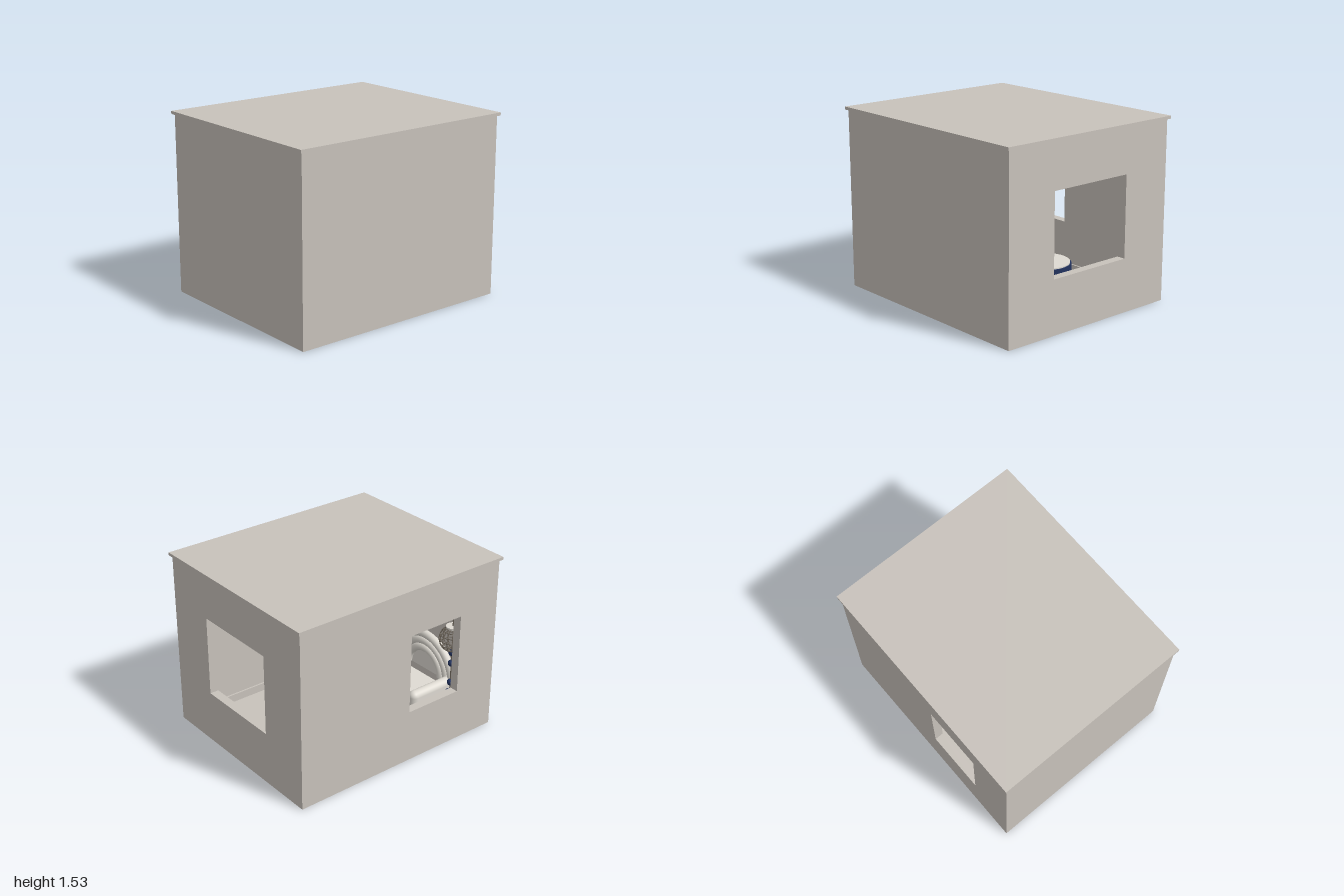
import * as THREE from 'three';
import { RoundedBoxGeometry } from 'three/addons/geometries/RoundedBoxGeometry.js';

const material = (name, color) => {
  const m = new THREE.MeshStandardMaterial({ color });
  m.name = name;
  return m;
};

export function createModel() {
  const plaster = material('warm plaster', 0xc8c2bb);
  const cream = material('cream upholstery', 0xdedad2);
  const navy = material('navy', 0x22335f);
  const bronze = material('bronze wire', 0x6f675c);

  const room = new THREE.Group();
  room.name = 'room';
  const add = (name, geometry, mat, x = 0, y = 0, z = 0, parent = room) => {
    const mesh = new THREE.Mesh(geometry, mat);
    mesh.name = name;
    mesh.position.set(x, y, z);
    parent.add(mesh);
    return mesh;
  };

  const W = 0.83, D = 0.98, H = 1.505, T = 0.075;
  const sill = 0.45, head = 1.13;

  // Wall panel in its own plane, with an optional window from a to b
  const wallPanel = (half, a, b) => {
    const shape = new THREE.Shape();
    shape.moveTo(-half, 0).lineTo(half, 0).lineTo(half, H).lineTo(-half, H).closePath();
    if (a !== undefined) {
      const hole = new THREE.Path();
      hole.moveTo(a, sill).lineTo(a, head).lineTo(b, head).lineTo(b, sill).closePath();
      shape.holes.push(hole);
    }
    return new THREE.ExtrudeGeometry(shape, { depth: T, bevelEnabled: false });
  };

  // Shell: front and back walls, side walls between them, roof and floor
  add('frontWall', wallPanel(W), plaster, 0, 0, D - T);
  add('backWall', wallPanel(W, -0.38, 0.38), plaster, 0, 0, -D);
  const inner = D - T;
  add('windowSideWall', wallPanel(inner, 0.08, 0.59), plaster, -W + T, 0, 0).rotation.y = -Math.PI / 2;
  add('plainSideWall', wallPanel(inner), plaster, W, 0, 0).rotation.y = -Math.PI / 2;
  add('roof', new THREE.BoxGeometry(1.7, 0.025, 2), plaster, 0, H + 0.0125, 0);
  add('floor', new THREE.BoxGeometry(2 * (W - T), 0.018, 2 * inner), plaster, 0, 0.011, 0);

  // Skirting board along the inside walls
  for (const s of [-1, 1]) {
    add('sideSkirting', new THREE.BoxGeometry(0.015, 0.07, 2 * inner), plaster, s * (W - T - 0.0075), 0.055, 0);
    add('endSkirting', new THREE.BoxGeometry(2 * (W - T), 0.07, 0.015), plaster, 0, 0.055, s * (inner - 0.0075));
  }

  // Sofa with an arched back made of concentric rolls
  const sofa = new THREE.Group();
  sofa.name = 'sofa';
  sofa.position.set(-0.18, 0, 0);
  room.add(sofa);
  const arch = new THREE.Shape();
  arch.moveTo(-0.3, 0).lineTo(0.3, 0).absarc(0, 0, 0.3, 0, Math.PI, false);
  add('archBack', new THREE.ExtrudeGeometry(arch, { depth: 0.05, bevelEnabled: false, curveSegments: 32 }),
    cream, 0, 0.28, 0.84, sofa);
  for (const r of [0.2, 0.265, 0.33]) {
    add('archRoll', new THREE.TorusGeometry(r, 0.035, 12, 40, Math.PI), cream, 0, 0.28, 0.84, sofa);
  }
  add('seat', new RoundedBoxGeometry(0.62, 0.2, 0.48, 4, 0.05), cream, 0, 0.13, 0.62, sofa);
  for (const s of [-1, 1]) {
    add('armrest', new RoundedBoxGeometry(0.1, 0.32, 0.46, 4, 0.05), cream, s * 0.3, 0.18, 0.63, sofa);
  }

  // Pair of beaded floor lamps with wire globes
  const lamp = (x, z) => {
    const g = new THREE.Group();
    g.name = 'floorLamp';
    g.position.set(x, 0, z);
    room.add(g);
    add('lampBase', new THREE.CylinderGeometry(0.095, 0.1, 0.03, 32), navy, 0, 0.015, 0, g);
    add('lampStem', new THREE.CylinderGeometry(0.006, 0.006, 0.68, 8), bronze, 0, 0.35, 0, g);
    add('lampDisc', new THREE.SphereGeometry(0.045, 20, 12), navy, 0, 0.3, 0, g).scale.y = 0.5;
    for (const y of [0.11, 0.2, 0.39, 0.57, 0.67]) {
      add('lampBead', new THREE.SphereGeometry(0.03, 20, 14), navy, 0, y, 0, g);
    }
    for (let i = 0; i < 8; i++) {
      add('globeMeridian', new THREE.TorusGeometry(0.11, 0.004, 5, 32), bronze, 0, 0.8, 0, g).rotation.y = i * Math.PI / 8;
    }
    for (let i = 1; i < 8; i++) {
      const a = i * Math.PI / 8;
      add('globeParallel', new THREE.TorusGeometry(0.11 * Math.sin(a), 0.004, 5, 32), bronze,
        0, 0.8 + 0.11 * Math.cos(a), 0, g).rotation.x = Math.PI / 2;
    }
    add('globeCap', new THREE.CylinderGeometry(0.06, 0.06, 0.015, 24), cream, 0, 0.91, 0, g);
    add('globeFinial', new THREE.CylinderGeometry(0.006, 0.006, 0.1, 8), bronze, 0, 0.96, 0, g);
  };
  lamp(-0.62, 0.72);
  lamp(0.26, 0.735);

  // Round drum table, its foot ring just showing beneath the floor
  const table = new THREE.Group();
  table.name = 'drumTable';
  table.position.set(-0.18, 0, -0.275);
  room.add(table);
  add('drum', new THREE.CylinderGeometry(0.225, 0.225, 0.28, 48), navy, 0, 0.155, 0, table);
  add('tableTop', new THREE.CylinderGeometry(0.215, 0.215, 0.01, 48), cream, 0, 0.3, 0, table);
  add('footRing', new THREE.TorusGeometry(0.227, 0.003, 6, 64), navy, 0, 0.003, 0, table).rotation.x = Math.PI / 2;

  // Beaded cord along the ceiling
  for (let i = 0; i < 46; i++) {
    add('ceilingBead', new THREE.SphereGeometry(0.01, 8, 6), navy, -0.57, 1.49, -0.44 + i * 0.0255);
  }
  return room;
}
